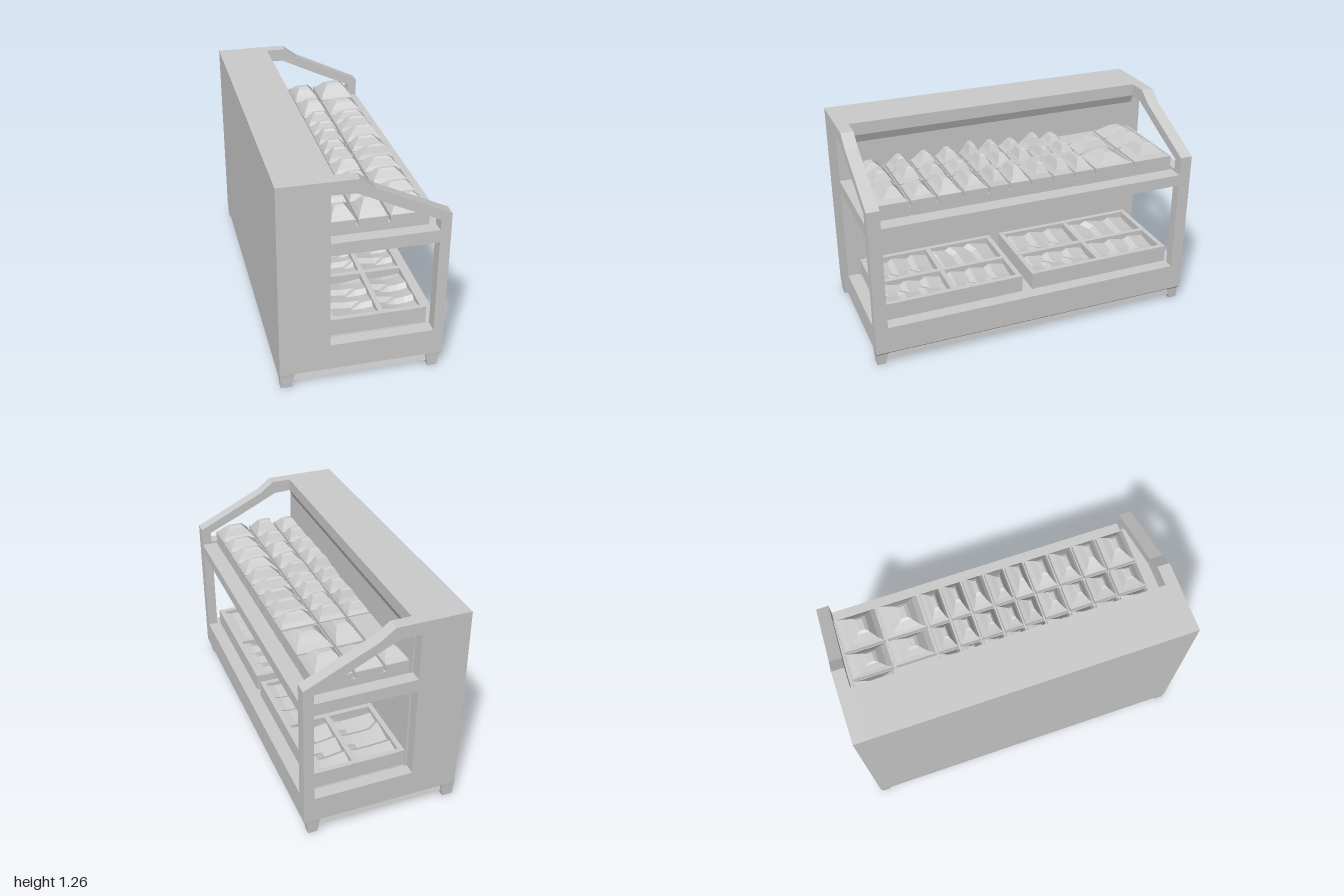
import * as THREE from 'three';

const material = new THREE.MeshStandardMaterial({ color: 0xcccccc, flatShading: true, side: THREE.DoubleSide });

function add(parent, name, geometry) {
  const mesh = new THREE.Mesh(geometry, material);
  mesh.name = name;
  parent.add(mesh);
  return mesh;
}

// Box given by its limits
function block(parent, name, x0, x1, y0, y1, z0, z1) {
  const g = new THREE.BoxGeometry(x1 - x0, y1 - y0, z1 - z0);
  g.translate((x0 + x1) / 2, (y0 + y1) / 2, (z0 + z1) / 2);
  return add(parent, name, g);
}

// Profile in x and y, extruded from z0 to z1
function slab(parent, name, points, z0, z1, holes = []) {
  const toVectors = (list) => list.map(([x, y]) => new THREE.Vector2(x, y));
  const shape = new THREE.Shape(toVectors(points));
  holes.forEach((h) => shape.holes.push(new THREE.Path(toVectors(h))));
  const g = new THREE.ExtrudeGeometry(shape, { depth: z1 - z0, bevelEnabled: false });
  g.translate(0, 0, z0);
  return add(parent, name, g);
}

// Closed solid through rectangular rings [y, x0, x1, z0, z1], bottom to top
function loft(parent, name, rings) {
  const pos = [];
  const index = [];
  rings.forEach(([y, x0, x1, z0, z1]) => pos.push(x0, y, z0, x0, y, z1, x1, y, z1, x1, y, z0));
  for (let r = 0; r < rings.length - 1; r++) {
    for (let i = 0; i < 4; i++) {
      const a = r * 4 + i, b = r * 4 + ((i + 1) % 4);
      index.push(a, b, b + 4, a, b + 4, a + 4);
    }
  }
  const t = (rings.length - 1) * 4;
  index.push(0, 2, 1, 0, 3, 2, t, t + 1, t + 2, t, t + 2, t + 3);
  const g = new THREE.BufferGeometry();
  g.setAttribute('position', new THREE.Float32BufferAttribute(pos, 3));
  g.setIndex(index);
  const flat = g.toNonIndexed();
  flat.computeVertexNormals();
  return add(parent, name, flat);
}

function seeded(seed) {
  return () => {
    seed = (seed * 16807) % 2147483647;
    return seed / 2147483647;
  };
}

function buildCabinet(root) {
  const cabinet = new THREE.Group();
  cabinet.name = 'cabinet';
  root.add(cabinet);

  // Deep back with an overhanging top edge
  slab(cabinet, 'backBody', [[-0.47, 0.09], [-0.17, 0.09], [-0.175, 1.14], [-0.155, 1.19],
    [-0.155, 1.265], [-0.47, 1.265]], -0.93, 0.93);

  // End panels with sloping top and two windows
  const outline = [[-0.47, 0.09], [0.47, 0.09], [0.47, 1], [0.05, 1.2], [-0.035, 1.265], [-0.47, 1.265]];
  const upperWindow = [[-0.185, 0.905], [-0.185, 1.19], [-0.05, 1.185], [0.2, 1.065], [0.41, 0.97], [0.41, 0.905]];
  const lowerWindow = [[-0.185, 0.252], [-0.185, 0.83], [0.41, 0.83], [0.41, 0.252]];
  slab(cabinet, 'leftEnd', outline, 0.925, 1, [upperWindow, lowerWindow]);
  slab(cabinet, 'rightEnd', outline, -1, -0.925, [upperWindow, lowerWindow]);

  // Base, recessed plinth and shelf
  block(cabinet, 'base', -0.17, 0.47, 0.09, 0.255, -0.925, 0.925);
  loft(cabinet, 'plinth', [[0.03, -0.465, 0.445, -0.98, 0.98], [0.065, -0.465, 0.44, -0.97, 0.97],
    [0.092, -0.47, 0.465, -0.995, 0.995]]);
  block(cabinet, 'shelf', -0.17, 0.47, 0.82, 0.89, -0.925, 0.925);

  // Tapered feet
  for (const s of [-1, 1]) {
    const foot = (name, rows) => loft(cabinet, name, rows.map(([y, a, b, inner, outer]) =>
      [y, a, b, ...(s > 0 ? [inner, outer] : [-outer, -inner])]));
    foot('backFoot', [[0, -0.465, -0.4, 0.945, 0.995], [0.07, -0.468, -0.39, 0.93, 0.998], [0.092, -0.47, -0.38, 0.92, 1]]);
    foot('frontFoot', [[0, 0.39, 0.445, 0.945, 0.995], [0.07, 0.38, 0.45, 0.93, 0.998], [0.092, 0.37, 0.47, 0.92, 1]]);
  }
}

// Three columns of bins on the shelf, each heaped to a ridge
function buildBins(root) {
  const bins = new THREE.Group();
  bins.name = 'bins';
  root.add(bins);
  const rand = seeded(71);
  const columns = [[-0.165, -0.03], [-0.015, 0.145], [0.16, 0.375]];
  const rows = [0.92, 0.73, 0.575, 0.42, 0.265, 0.14, 0.01, -0.13, -0.265, -0.4, -0.66, -0.92];
  block(bins, 'binTray', -0.165, 0.37, 0.88, 0.94, -0.915, 0.915);
  columns.forEach(([x0, x1], c) => {
    for (let r = 0; r < rows.length - 1; r++) {
      const z1 = rows[r] - 0.006, z0 = rows[r + 1] + 0.006;
      const w = x1 - x0, d = z1 - z0;
      block(bins, 'bin', x0, x1, 0.89, 0.98, z0, z1);
      // Sparse corner of the first column
      if (c === 0 && r === 9) continue;
      const heap = c === 0 && r === 10 ? 0.045 : 0.06 + rand() * 0.025;
      const dx = (rand() - 0.5) * 0.12 * w, dz = (rand() - 0.5) * 0.12 * d;
      const ring = (y, kx, kz, k) => {
        const cx = (x0 + x1) / 2 + dx * k, cz = (z0 + z1) / 2 + dz * k;
        return [0.98 + heap * y, cx - w * kx / 2, cx + w * kx / 2, cz - d * kz / 2, cz + d * kz / 2];
      };
      loft(bins, 'heap', [ring(0, 0.96, 0.94, 0), ring(0.3, 0.82, 0.66, 0.4),
        ring(0.85, 0.5, 0.3, 1), ring(1, 0.34, 0.14, 1)]);
    }
  });
}

// Open tray with four compartments holding folded contents
function buildTray(root, name, z0, z1) {
  const tray = new THREE.Group();
  tray.name = name;
  root.add(tray);
  const x0 = -0.17, x1 = 0.39, y0 = 0.25, y1 = 0.36, rim = 0.03;
  const mx = 0.13, mz = (z0 + z1) / 2;
  block(tray, 'trayFloor', x0, x1, y0, 0.285, z0, z1);
  for (const x of [x0, mx - rim / 2, x1 - rim]) block(tray, 'trayWall', x, x + rim, y0, y1, z0, z1);
  for (const z of [z0, mz - rim / 2, z1 - rim]) block(tray, 'trayDivider', x0, x1, y0, y1 - 0.002, z, z + rim);

  const xs = [[x0 + rim, mx - rim / 2], [mx + rim / 2, x1 - rim]];
  const zs = [[z0 + rim, mz - rim / 2], [mz + rim / 2, z1 - rim]];
  xs.forEach(([a, b], i) => zs.forEach(([c, d], j) => {
    const g = new THREE.PlaneGeometry(b - a, d - c, 4, 12);
    g.rotateX(-Math.PI / 2);
    g.translate((a + b) / 2, 0, (c + d) / 2);
    const p = g.attributes.position;
    for (let k = 0; k < p.count; k++) {
      const u = (p.getX(k) - a) / (b - a), v = (p.getZ(k) - c) / (d - c);
      // Saw-shaped folds, sagging in the middle
      const fold = (v * 3 + 0.15 * Math.sin(u * 4 + i + j)) % 1;
      p.setY(k, 0.318 + 0.026 * Math.abs(fold) - 0.012 * Math.sin(u * Math.PI));
    }
    g.computeVertexNormals();
    add(tray, 'trayContents', g);
  }));
}

export function createModel() {
  const root = new THREE.Group();
  root.name = 'displayStand';
  buildCabinet(root);
  buildBins(root);
  buildTray(root, 'leftTray', 0.065, 0.92);
  buildTray(root, 'rightTray', -0.92, 0);
  return root;
}
